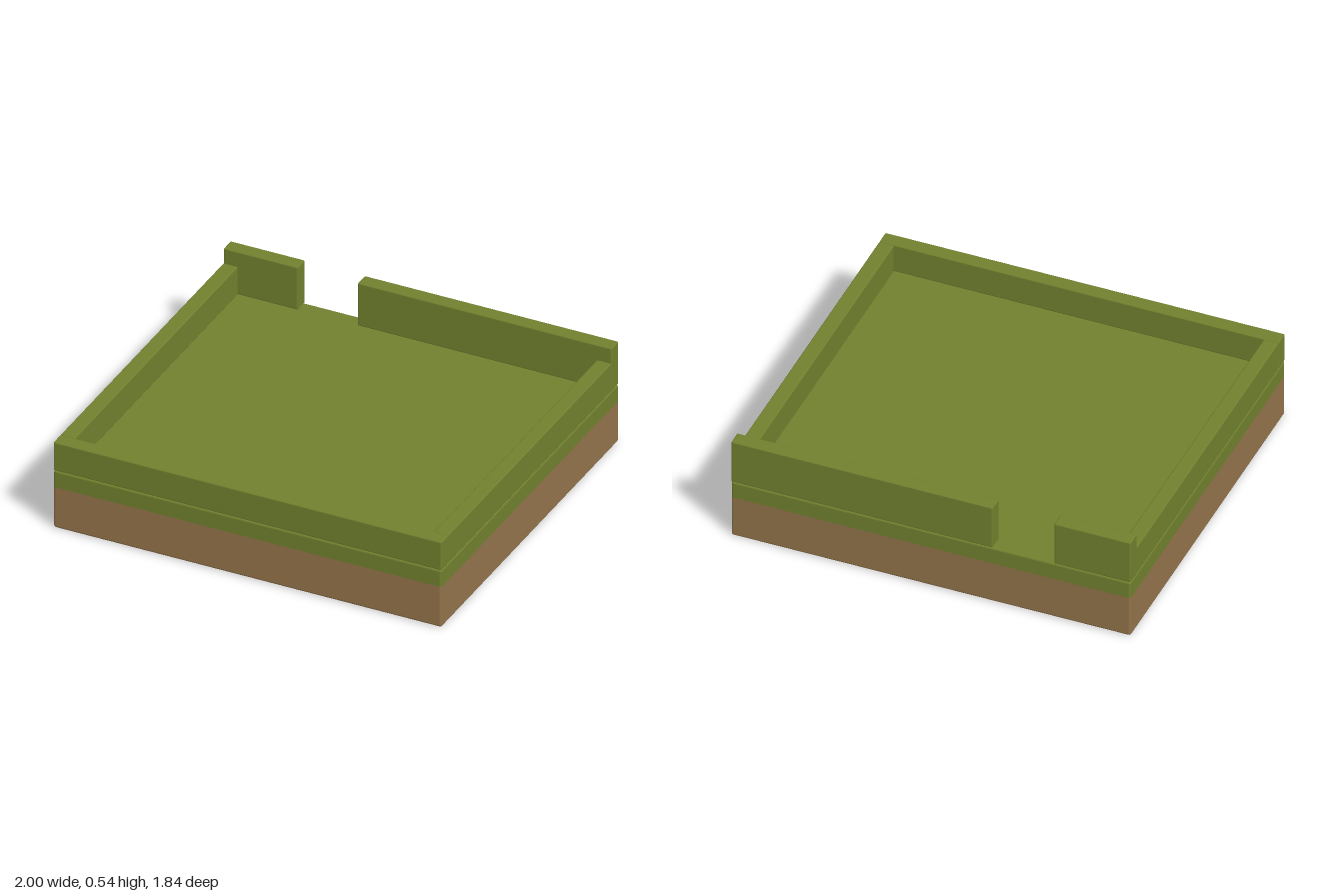
import * as THREE from 'three';
import { RoundedBoxGeometry } from 'three/addons/geometries/RoundedBoxGeometry.js';

export function createModel() {
  const model = new THREE.Group();
  model.name = 'groundTile';

  const grass = new THREE.MeshStandardMaterial({ color: 0x70802e });
  grass.name = 'grass green';
  const soil = new THREE.MeshStandardMaterial({ color: 0x92734a });
  soil.name = 'soil brown';

  // Softly rounded block given by its minimum and maximum corners
  function block(name, material, [x0, y0, z0], [x1, y1, z1], radius = 0.007) {
    const geometry = new RoundedBoxGeometry(x1 - x0, y1 - y0, z1 - z0, 2, radius);
    geometry.translate((x0 + x1) / 2, (y0 + y1) / 2, (z0 + z1) / 2);
    const mesh = new THREE.Mesh(geometry, material);
    mesh.name = name;
    model.add(mesh);
    return mesh;
  }

  // Flatten one end of a block so two layers meet in a clean seam
  function clampHeight(mesh, low, high) {
    const p = mesh.geometry.attributes.position;
    for (let i = 0; i < p.count; i++) {
      p.setY(i, THREE.MathUtils.clamp(p.getY(i), low, high));
    }
  }

  const W = 1, D = 0.922, T = 0.075;
  const seam = 0.22, floor = 0.309, low = 0.462, high = 0.54;

  // Slab: soil below, grass layer above
  const slab = [[-W, 0, -D], [W, floor, D], 0.012];
  clampHeight(block('soilLayer', soil, ...slab), 0, seam);
  clampHeight(block('grassLayer', grass, ...slab), seam, floor);

  // Low front and side borders
  block('frontBorder', grass, [-W, floor, D - T], [W, low, D]);
  for (const [name, x] of [['rightBorder', -W], ['leftBorder', W - T]]) {
    block(name, grass, [x, floor, -D + T], [x + T, low, D - T]);
  }

  // Taller back border with a gap
  block('backBorderShort', grass, [-W, floor, -D], [-0.617, high, -D + T]);
  block('backBorderLong', grass, [-0.309, floor, -D], [W, high, -D + T]);

  return model;
}
